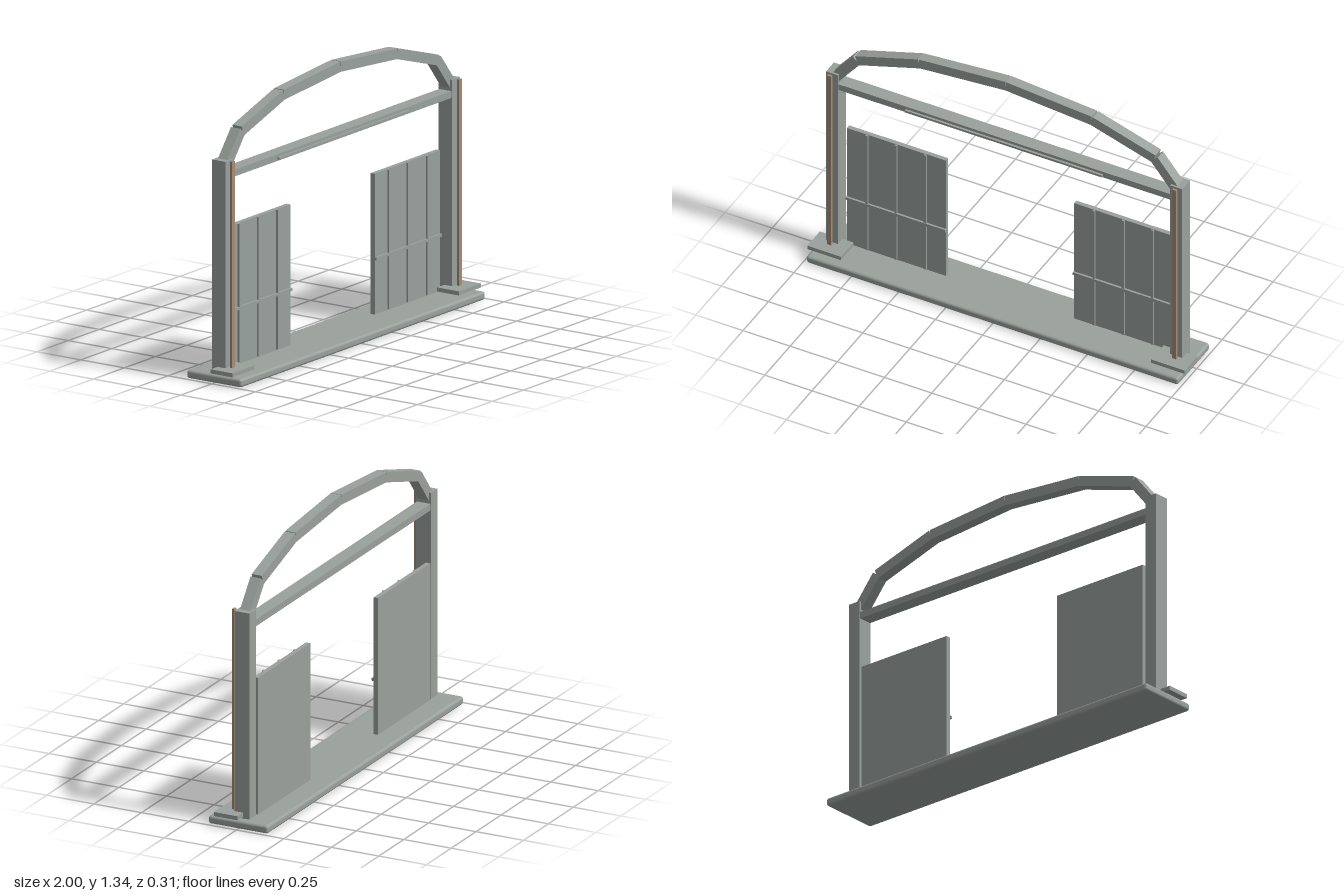
import * as THREE from 'three';
import { RoundedBoxGeometry } from 'three/addons/geometries/RoundedBoxGeometry.js';

export function createModel() {
  const model = new THREE.Group();
  model.name = 'gateway';

  const grey = new THREE.MeshStandardMaterial({ color: 0x9aa19d });
  grey.name = 'stone grey';
  const brown = new THREE.MeshStandardMaterial({ color: 0xa58d74 });
  brown.name = 'wood brown';

  // Box given by its min and max corners
  function box(name, [x0, x1], [y0, y1], [z0, z1], material = grey) {
    const mesh = new THREE.Mesh(new THREE.BoxGeometry(x1 - x0, y1 - y0, z1 - z0), material);
    mesh.position.set((x0 + x1) / 2, (y0 + y1) / 2, (z0 + z1) / 2);
    mesh.name = name;
    model.add(mesh);
    return mesh;
  }
  // Same box on one side, or mirrored across x = 0
  const sided = (name, side, [a, b], y, z, material) =>
    box(name, side > 0 ? [a, b] : [-b, -a], y, z, material);

  // Threshold slab with softened edges
  const slab = new THREE.Mesh(new RoundedBoxGeometry(1.97, 0.04, 0.314, 2, 0.013), grey);
  slab.position.y = 0.02;
  slab.name = 'threshold';
  model.add(slab);

  // Lintel and the thin rail on its front
  box('lintel', [-0.88, 0.88], [0.977, 1.01], [-0.035, 0.035]);
  box('lintelRail', [-0.522, 0.522], [0.985, 0.996], [0.035, 0.047]);

  for (const side of [1, -1]) {
    const label = side > 0 ? 'left' : 'right';
    sided(label + 'Post', side, [0.88, 0.944], [0.035, 1.065], [-0.039, 0.039]);
    sided(label + 'PostStrip', side, [0.903, 0.925], [0.04, 1.065], [0.051, 0.063], brown);
    sided(label + 'Foot', side, [0.822, 1], [0.049, 0.069], [-0.006, 0.118]);

    // Gate leaf with three upright battens and one cross batten
    sided(label + 'Leaf', side, [0.34, 0.865], [0.04, 0.72], [-0.043, -0.02]);
    for (const x of [0.447, 0.602, 0.757]) {
      sided(label + 'UprightBatten', side, [x - 0.006, x + 0.006], [0.045, 0.718], [-0.02, -0.011]);
    }
    sided(label + 'CrossBatten', side, [0.338, 0.867], [0.304, 0.318], [-0.02, -0.009]);
  }

  // Arch made of straight beams between nodes; outer corners leave small notches
  const half = [[0, 1.318], [0.456, 1.281], [0.788, 1.178], [0.9, 1.04]];
  for (const side of [1, -1]) {
    for (let i = 0; i < half.length - 1; i++) {
      const [x0, y0] = half[i], [x1, y1] = half[i + 1];
      const beam = new THREE.Mesh(
        new THREE.BoxGeometry(Math.hypot(x1 - x0, y1 - y0), 0.05, 0.054), grey);
      beam.position.set(side * (x0 + x1) / 2, (y0 + y1) / 2, 0);
      beam.rotation.z = side * Math.atan2(y1 - y0, x1 - x0);
      beam.name = 'archBeam';
      model.add(beam);
    }
  }
  return model;
}
